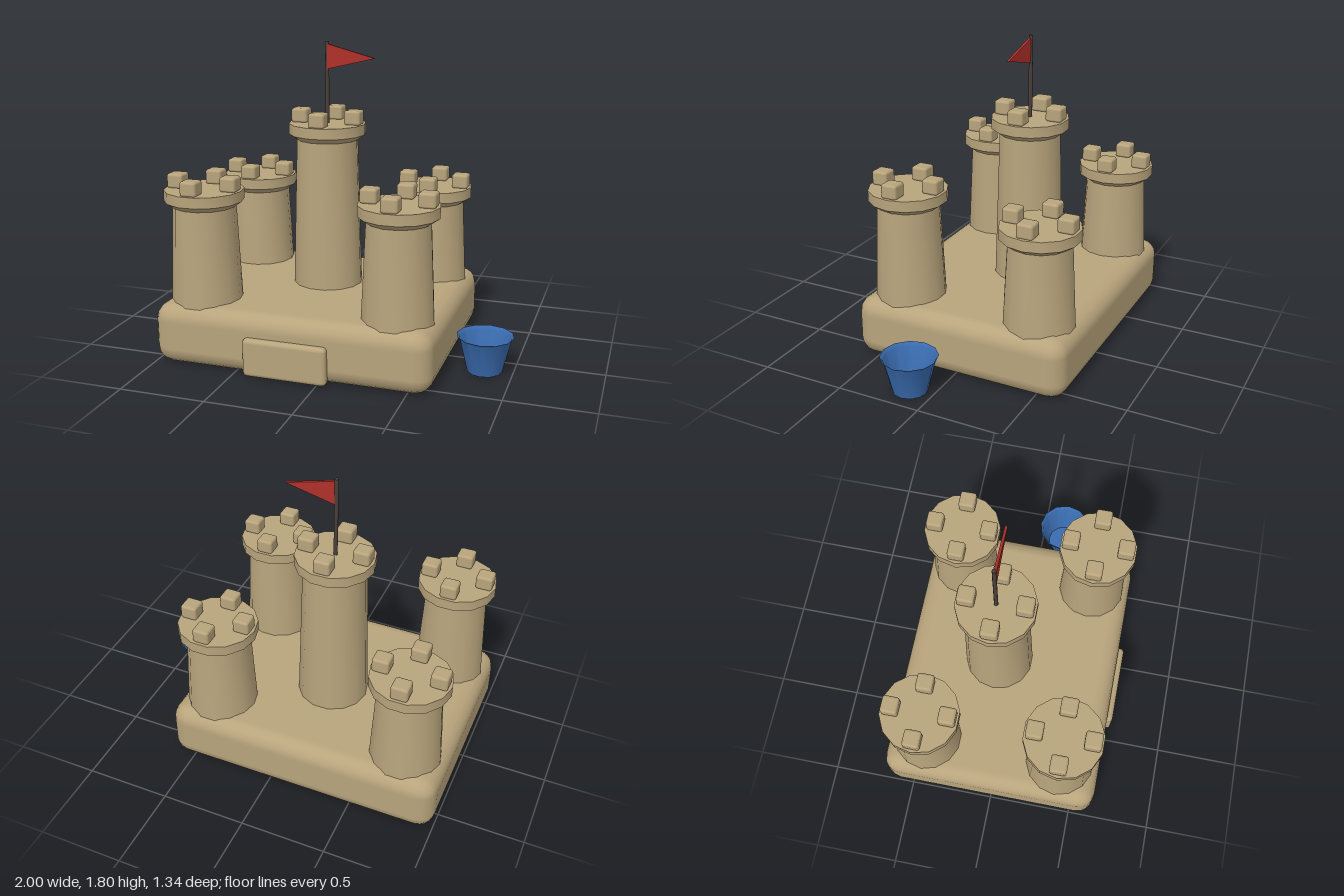
import * as THREE from 'three';
import { RoundedBoxGeometry } from 'three/addons/geometries/RoundedBoxGeometry.js';
import { toCreasedNormals } from 'three/addons/utils/BufferGeometryUtils.js';

const sand = new THREE.MeshStandardMaterial({ color: 0xb8a47c });
const wood = new THREE.MeshStandardMaterial({ color: 0x4a4038 });
const red = new THREE.MeshStandardMaterial({ color: 0xb0302a });
const blue = new THREE.MeshStandardMaterial({ color: 0x3a6cb0, side: THREE.DoubleSide });

function add(parent, name, geometry, material, x, y, z) {
  const mesh = new THREE.Mesh(geometry, material);
  mesh.name = name;
  mesh.position.set(x, y, z);
  parent.add(mesh);
  return mesh;
}

// Turned shape with smooth sides and sharp rims
function turned(profile, sides) {
  const points = profile.map(([r, y]) => new THREE.Vector2(r, y));
  const geometry = new THREE.LatheGeometry(points, sides).rotateY(Math.PI / 2);
  return toCreasedNormals(geometry, 0.6);
}

// Tapered tower with a flared rim and four merlons
function makeTower(name, x, z, top) {
  const tower = new THREE.Group();
  tower.name = name;
  tower.position.set(x, 0, z);
  add(tower, 'towerBody', turned([
    [0, 0.28], [0.209, 0.28], [0.181, top - 0.095],
    [0.228, top - 0.062], [0.228, top], [0, top],
  ], 14), sand, 0, 0, 0);
  for (let i = 0; i < 4; i++) {
    const a = (i * Math.PI) / 2;
    add(tower, 'merlon', new RoundedBoxGeometry(0.097, 0.085, 0.097, 2, 0.015), sand,
      0.163 * Math.cos(a), top + 0.0395, 0.163 * Math.sin(a));
  }
  return tower;
}

export function createModel() {
  const model = new THREE.Group();
  model.name = 'sandcastle';

  // Base slab and gate
  add(model, 'base', new RoundedBoxGeometry(1.635, 0.36, 1.305, 2, 0.1), sand, -0.182, 0.18, -0.018);
  add(model, 'gate', new RoundedBoxGeometry(0.49, 0.222, 0.065, 2, 0.025), sand, -0.182, 0.122, 0.638);

  // Four corner towers, the back pair lower, and the keep
  for (const [side, x] of [['Right', -0.757], ['Left', 0.392]]) {
    model.add(makeTower('frontTower' + side, x, 0.39, 1.0));
    model.add(makeTower('backTower' + side, x, -0.43, 0.92));
  }
  model.add(makeTower('keep', -0.182, -0.098, 1.33));

  // Flagpole and pennant
  add(model, 'flagpole', new THREE.CylinderGeometry(0.012, 0.012, 0.505, 8), wood, -0.182, 1.5525, -0.098);
  const pennant = new THREE.Shape([
    new THREE.Vector2(0, 0.073), new THREE.Vector2(0, -0.073), new THREE.Vector2(0.29, -0.003),
  ]);
  add(model, 'flag', new THREE.ExtrudeGeometry(pennant, { depth: 0.015, bevelEnabled: false }), red,
    -0.18, 1.718, -0.102);

  // Open bucket with a small lip
  add(model, 'bucket', turned([[0, 0], [0.1, 0], [0.149, 0.197], [0.163, 0.212]], 12), blue, 0.837, 0, 0.142);

  return model;
}
